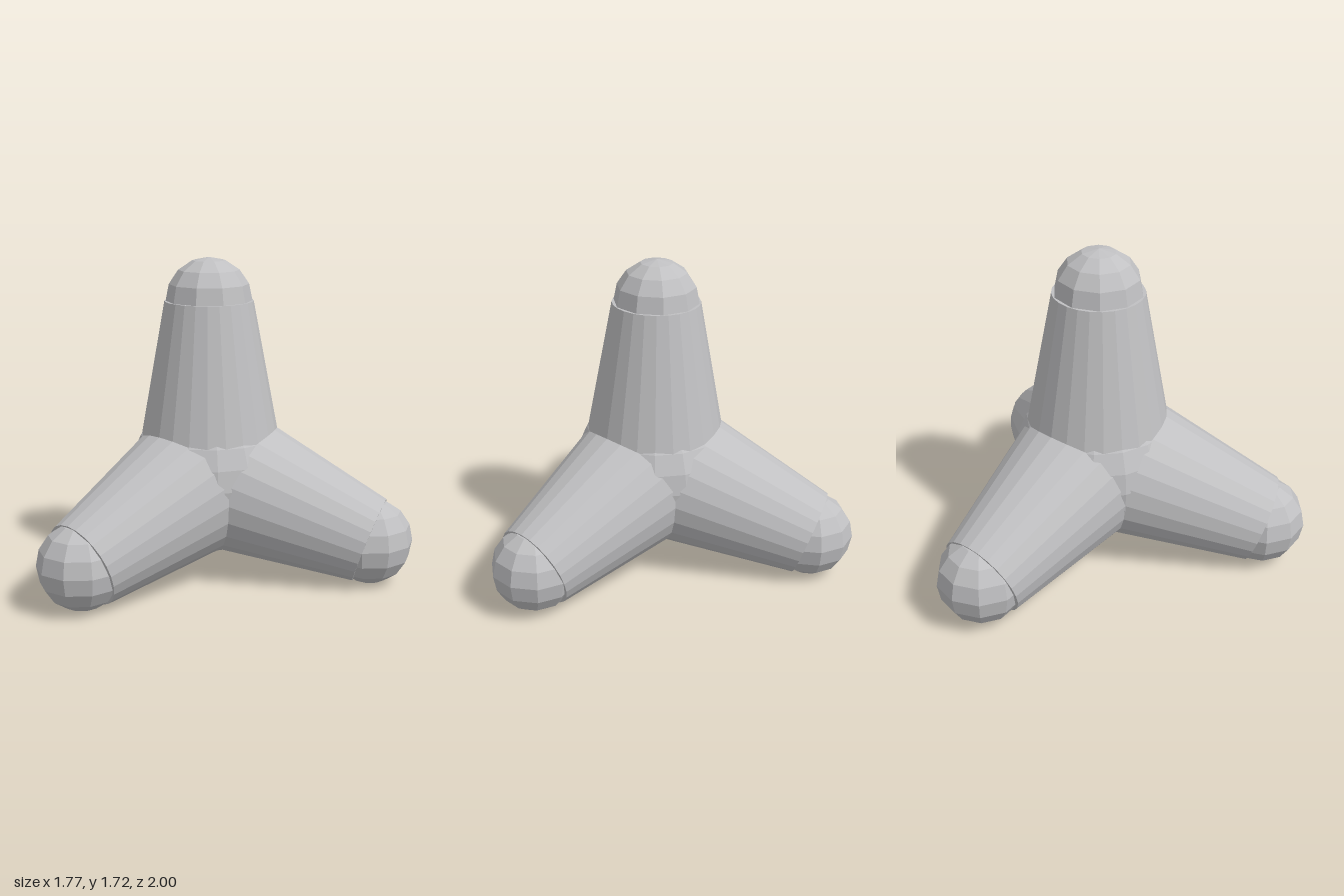
import * as THREE from 'three';

export function createModel() {
  const group = new THREE.Group();
  group.name = 'tetrapodBlock';
  const concrete = new THREE.MeshStandardMaterial({ color: 0xc0c0c2, flatShading: true });
  concrete.name = 'concrete grey';

  const centre = new THREE.Vector3(-0.222, 0.544, 0);
  const reach = 0.942; // centre to the middle of each rounded tip
  const up = new THREE.Vector3(0, 1, 0);

  const add = (name, geometry, position) => {
    const mesh = new THREE.Mesh(geometry, concrete);
    mesh.name = name;
    mesh.position.copy(position);
    group.add(mesh);
    return mesh;
  };

  // Faceted core filling the hollows between the legs
  add('core', new THREE.SphereGeometry(0.435, 16, 12), centre);

  // Tapered leg and rounded tip, shared by all four arms
  const legGeometry = new THREE.CylinderGeometry(0.237, 0.41, reach, 24);
  legGeometry.rotateY(Math.PI / 2);
  const tipGeometry = new THREE.SphereGeometry(0.23, 10, 8);
  tipGeometry.rotateY(Math.PI / 2);

  // One arm straight up, three spread evenly below
  const arms = [['top', up.clone()]];
  ['left', 'frontRight', 'backRight'].forEach((name, i) => {
    const a = [0, 1, -1][i] * Math.PI * 2 / 3;
    const s = Math.sqrt(8) / 3;
    arms.push([name, new THREE.Vector3(s * Math.cos(a), -1 / 3, s * Math.sin(a))]);
  });

  for (const [name, dir] of arms) {
    const leg = add(name + 'Leg', legGeometry, centre.clone().addScaledVector(dir, reach / 2));
    leg.quaternion.setFromUnitVectors(up, dir);
    add(name + 'Tip', tipGeometry, centre.clone().addScaledVector(dir, reach));
  }
  return group;
}
